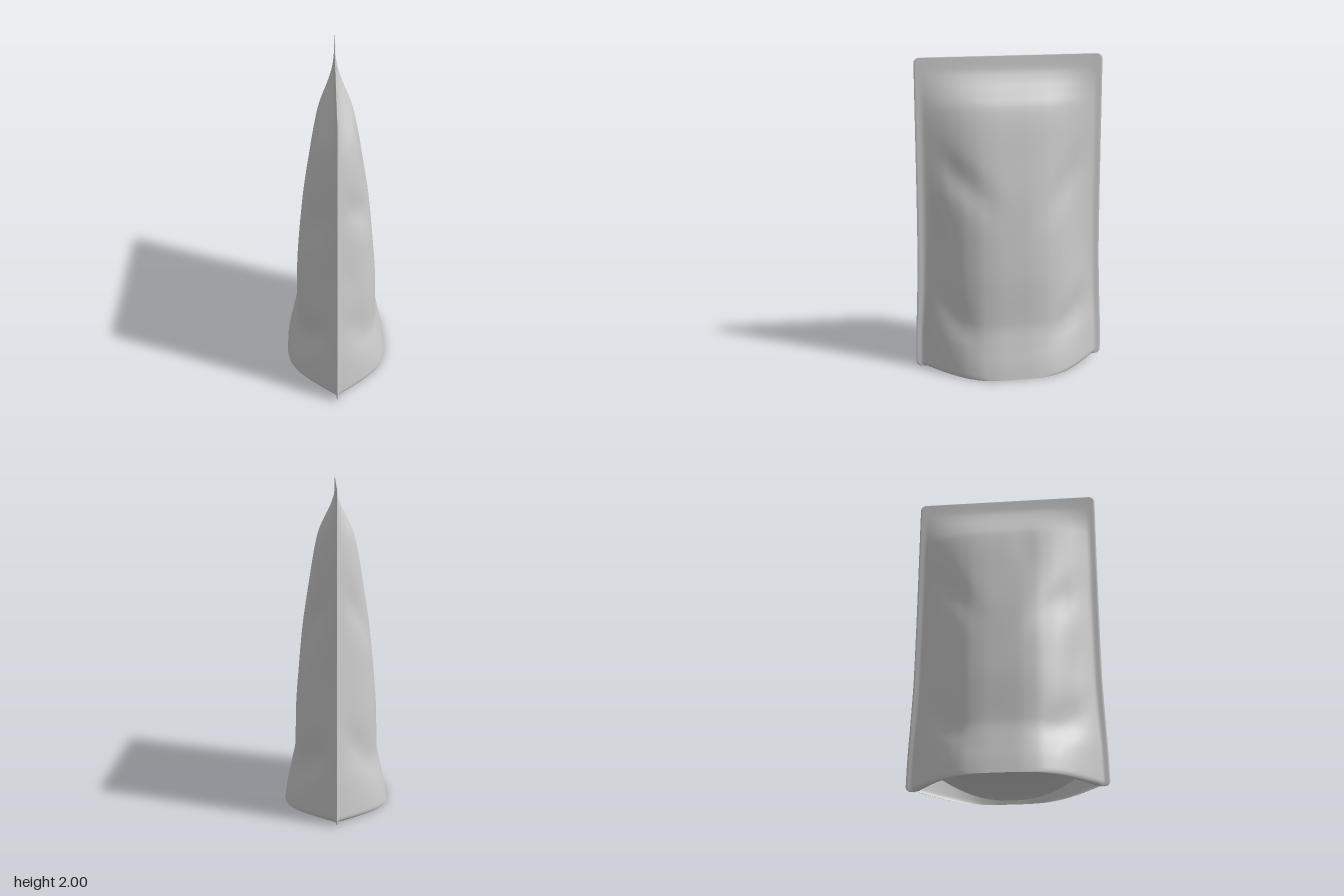
import * as THREE from 'three';

// Monotone cubic interpolation through [position, value] pairs
function profile(pts) {
  const n = pts.length;
  const d = [];
  for (let i = 0; i < n - 1; i++) d.push((pts[i + 1][1] - pts[i][1]) / (pts[i + 1][0] - pts[i][0]));
  const m = pts.map((_, i) => {
    if (i === 0) return d[0];
    if (i === n - 1) return d[n - 2];
    const a = d[i - 1], b = d[i];
    return a * b <= 0 ? 0 : (2 * a * b) / (a + b);
  });
  return (t) => {
    let i = 0;
    while (i < n - 2 && t > pts[i + 1][0]) i++;
    const h = pts[i + 1][0] - pts[i][0];
    const s = Math.min(1, Math.max(0, (t - pts[i][0]) / h));
    const s2 = s * s, s3 = s2 * s;
    return (2 * s3 - 3 * s2 + 1) * pts[i][1] + (s3 - 2 * s2 + s) * h * m[i]
      + (3 * s2 - 2 * s3) * pts[i + 1][1] + (s3 - s2) * h * m[i + 1];
  };
}

const H = 2, R = 0.035, SEAL = 0.003;

// Half thickness and half width by height, bulge across the width
const thickness = profile([[0, 0.322], [0.1, 0.305], [0.2, 0.283], [0.35, 0.256], [0.6, 0.25], [0.85, 0.232],
  [1.1, 0.208], [1.4, 0.163], [1.6, 0.129], [1.7, 0.104], [1.78, 0.066], [1.86, 0.026], [1.92, 0.006], [2, 0]]);
const sideEdge = profile([[0, 0.613], [0.2, 0.609], [0.45, 0.598], [0.75, 0.588], [1.2, 0.585], [2, 0.584]]);
const bulge = profile([[0, 1], [0.15, 0.998], [0.33, 0.955], [0.49, 0.83], [0.65, 0.6], [0.81, 0.28], [0.88, 0.125],
  [0.915, 0.045], [0.94, 0.01], [1, 0]]);
// The cross-section is more pointed at mid height
const pointedness = profile([[0, 1], [0.2, 1], [0.6, 1.2], [1.2, 1.25], [1.6, 1.1], [2, 1]]);

// Soft creases sloping inward and down: z, y, angle, length, breadth, depth
const creases = {
  '1': [[0.3, 1.24, -0.7, 0.2, 0.09, 0.022], [-0.33, 1.2, 0.55, 0.24, 0.09, 0.022], [-0.4, 0.36, 0.75, 0.22, 0.1, 0.03],
    [0.4, 0.42, -0.6, 0.22, 0.09, 0.018], [0.46, 0.85, -0.2, 0.2, 0.07, 0.012], [-0.48, 0.8, 0.15, 0.24, 0.07, 0.016]],
  '-1': [[0.32, 1.15, -0.6, 0.22, 0.09, 0.022], [-0.33, 1.25, 0.6, 0.22, 0.09, 0.018], [0.38, 0.36, -0.7, 0.22, 0.1, 0.03],
    [-0.4, 0.42, 0.65, 0.22, 0.09, 0.02], [0.46, 0.8, -0.15, 0.22, 0.07, 0.014], [0.12, 1.6, 0, 0.16, 0.07, 0.006]],
};

function halfWidth(y) {
  const e = Math.max(0, R - y, y - (H - R));
  return sideEdge(y) - (R - Math.sqrt(Math.max(0, R * R - e * e)));
}

// Distance of one wall from the centre plane
function wallX(side, u, y) {
  const a = Math.abs(u);
  const z = u * halfWidth(y);
  const b = Math.max(0, bulge(a)) ** pointedness(y);
  let x = thickness(y) * b;
  for (const [cz, cy, ang, len, wid, depth] of creases[side]) {
    const dz = z - cz, dy = y - cy;
    const along = dy * Math.cos(ang) - dz * Math.sin(ang);
    const across = dz * Math.cos(ang) + dy * Math.sin(ang);
    x -= depth * Math.min(1, b * 2) * Math.min(1, y * 4) * Math.exp(-((along / len) ** 2) - (across / wid) ** 2);
  }
  const rim = a > 0.9999 || y > H - 1e-4 ? 0 : SEAL;
  return side * (Math.max(0, x) + rim);
}

// Grid surface from a point rule, s and t in 0..1
function surface(name, ns, nt, point, flip) {
  const pos = [], idx = [];
  for (let j = 0; j <= nt; j++) for (let i = 0; i <= ns; i++) pos.push(...point(i / ns, j / nt));
  for (let j = 0; j < nt; j++) for (let i = 0; i < ns; i++) {
    const a = j * (ns + 1) + i, b = a + 1, c = a + ns + 1, d = c + 1;
    if (flip) idx.push(a, c, b, b, c, d);
    else idx.push(a, b, c, b, d, c);
  }
  const g = new THREE.BufferGeometry();
  g.setAttribute('position', new THREE.Float32BufferAttribute(pos, 3));
  g.setIndex(idx);
  g.computeVertexNormals();
  const mesh = new THREE.Mesh(g, new THREE.MeshStandardMaterial({ color: 0xcccccc, side: THREE.DoubleSide }));
  mesh.name = name;
  return mesh;
}

// Finer steps towards both ends
const ease = (t) => t * 0.4 + 0.6 * (0.5 - 0.5 * Math.cos(Math.PI * t));

export function createModel() {
  const group = new THREE.Group();
  group.name = 'standUpPouch';

  // Two bulging walls meeting in flat sealed edges
  for (const side of [1, -1]) {
    group.add(surface(side > 0 ? 'leftWall' : 'rightWall', 80, 130, (s, t) => {
      const u = 2 * ease(s) - 1;
      // extra rows inside the rounded corners
      const y = t < 0.05 ? R * (1 - Math.cos(t * 10 * Math.PI))
        : t > 0.95 ? H - R * (1 - Math.cos((1 - t) * 10 * Math.PI))
          : R + (H - 2 * R) * (t - 0.05) / 0.9;
      return [wallX(side, u, y), y, u * halfWidth(y)];
    }, side > 0));
  }

  // Shallow bottom gusset between the walls, its seam rising to both ends
  group.add(surface('bottomGusset', 70, 36, (s, t) => {
    const u = 2 * ease(s) - 1, v = 2 * t - 1;
    const seam = 0.025 + 0.2 * u * u;
    const fold = 0.12 + 0.11 * u * u;
    const x = Math.abs(v) * wallX(v < 0 ? -1 : 1, u, seam);
    const y = seam + (fold - seam) * (1 - v * v);
    return [x, y, u * halfWidth(seam) * 0.995];
  }, true));

  return group;
}
